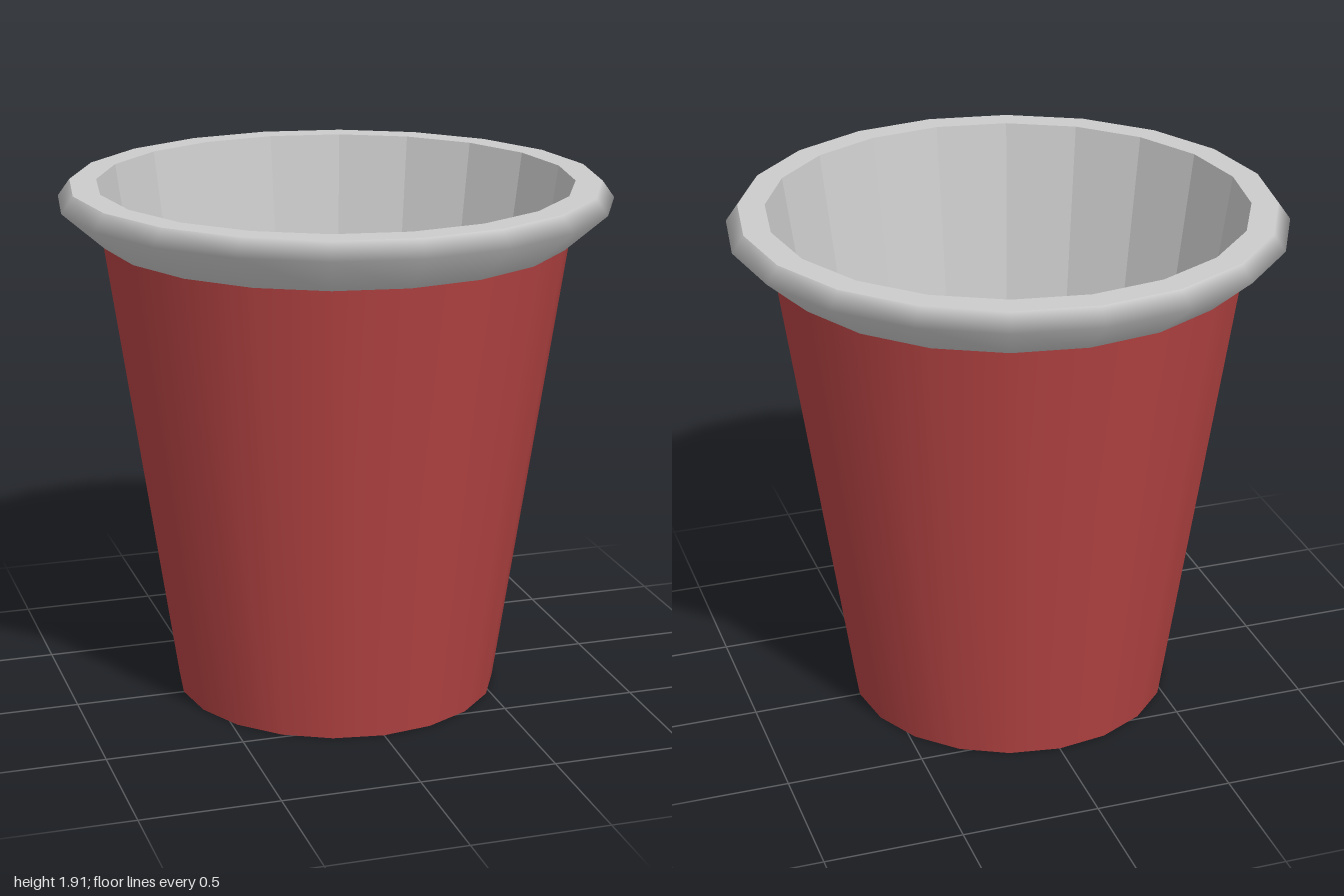
import * as THREE from 'three';

const SIDES = 20;

// Turns a profile of [radius, height] points; the outline runs up the outside and down the inside
function turned(name, profile, color, flatShading = false) {
  const points = profile.map(([r, y]) => new THREE.Vector2(r, y));
  const mesh = new THREE.Mesh(
    new THREE.LatheGeometry(points, SIDES),
    new THREE.MeshStandardMaterial({ color, flatShading })
  );
  mesh.name = name;
  return mesh;
}

export function createModel() {
  const cup = new THREE.Group();
  cup.name = 'cup';
  const red = 0xb54343, grey = 0xcccccc;

  cup.add(
    // Red underside and tapered outer wall
    turned('base', [[0, 0], [0.595, 0]], red, true),
    turned('outerWall', [[0.595, 0], [0.848, 1.72]], red),
    // Rolled rim, smooth outside with a flat top
    turned('rim', [[0.848, 1.72], [1, 1.855], [0.957, 1.915]], grey),
    turned('rimTop', [[0.957, 1.915], [0.86, 1.915]], grey, true),
    // Faceted inside with a raised floor
    turned('innerWall', [[0.86, 1.915], [0.67, 0.63]], grey, true),
    turned('innerFloor', [[0.67, 0.63], [0, 0.63]], grey, true)
  );
  return cup;
}
